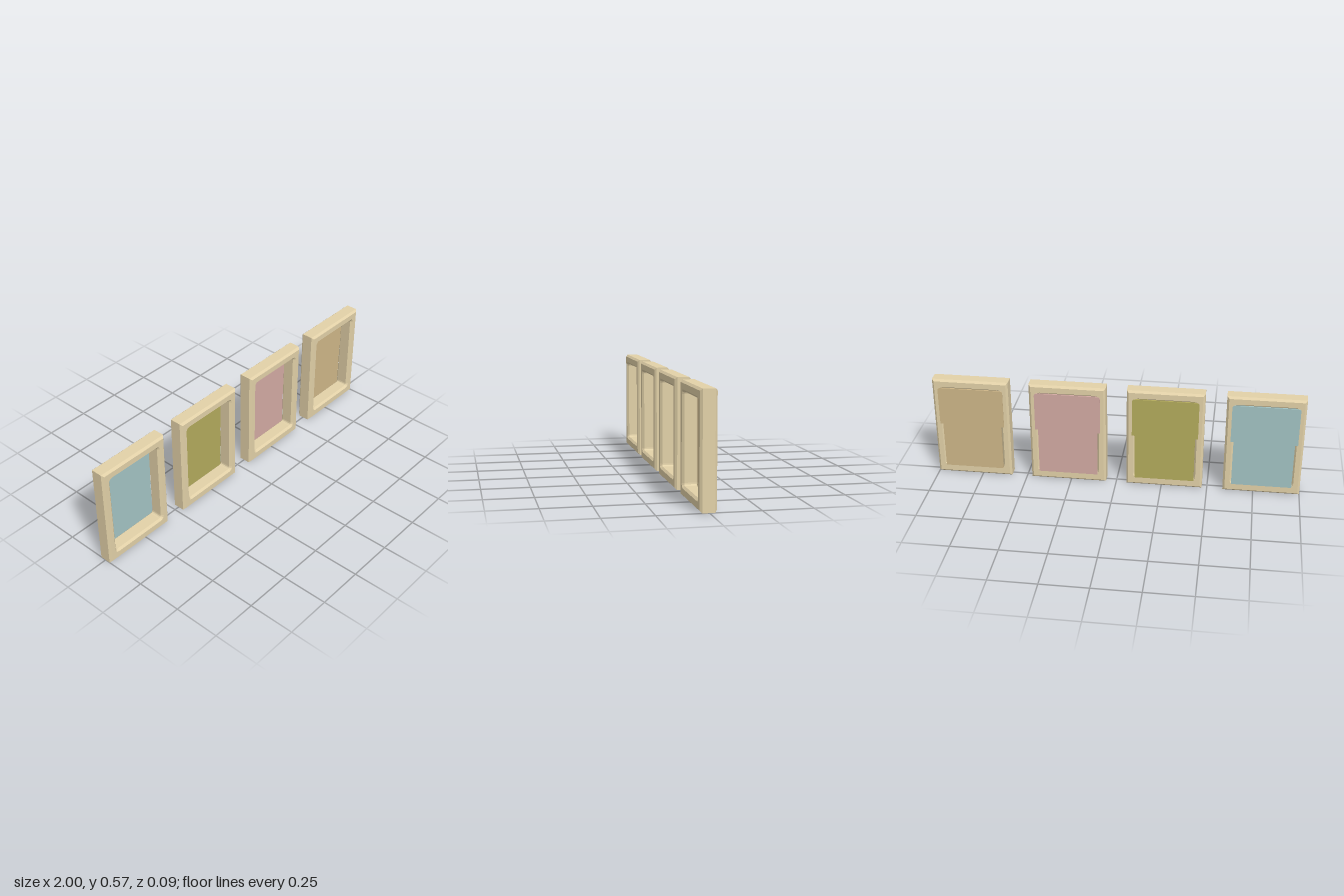
import * as THREE from 'three';

const W = 0.415, H = 0.57, BACK = -0.037, DEPTH = 0.082, BEVEL = 0.011;

// Rectangle path with softened corners (r = 0 gives square corners)
function rect(path, x0, y0, x1, y1, r) {
  path.moveTo(x0 + r, y0);
  path.lineTo(x1 - r, y0);
  if (r) path.quadraticCurveTo(x1, y0, x1, y0 + r);
  path.lineTo(x1, y1 - r);
  if (r) path.quadraticCurveTo(x1, y1, x1 - r, y1);
  path.lineTo(x0 + r, y1);
  if (r) path.quadraticCurveTo(x0, y1, x0, y1 - r);
  path.lineTo(x0, y0 + r);
  if (r) path.quadraticCurveTo(x0, y0, x0 + r, y0);
  return path;
}

// Bevelled border with a rectangular opening
function frameGeometry() {
  const shape = rect(new THREE.Shape(), -W / 2, 0, W / 2, H, 0);
  shape.holes.push(rect(new THREE.Path(), -0.16, 0.055, 0.16, 0.517, 0.014));
  const geo = new THREE.ExtrudeGeometry(shape, {
    depth: DEPTH - 2 * BEVEL, curveSegments: 3, bevelEnabled: true,
    bevelThickness: BEVEL, bevelSize: BEVEL, bevelOffset: -BEVEL, bevelSegments: 1,
  });
  return geo.translate(0, 0, BACK + BEVEL);
}

// Thin back panel, wider in its upper half
function panelGeometry() {
  const a = 0.162, b = 0.178, low = 0.045, mid = 0.305, top = 0.522, c = 0.014;
  const shape = new THREE.Shape();
  shape.moveTo(-a, low);
  shape.lineTo(a, low);
  shape.lineTo(a, mid);
  shape.lineTo(b, mid);
  shape.lineTo(b, top - c);
  shape.quadraticCurveTo(b, top, b - c, top);
  shape.lineTo(-b + c, top);
  shape.quadraticCurveTo(-b, top, -b, top - c);
  shape.lineTo(-b, mid);
  shape.lineTo(-a, mid);
  const geo = new THREE.ExtrudeGeometry(shape, { depth: 0.009, bevelEnabled: false, curveSegments: 3 });
  return geo.translate(0, 0, BACK - 0.003);
}

export function createModel() {
  const model = new THREE.Group();
  model.name = 'pictureFrames';
  const frameGeo = frameGeometry(), panelGeo = panelGeometry();
  const wood = new THREE.MeshStandardMaterial({ color: 0xe2d1a8 });

  // Four frames in a row, each with its own panel colour
  const colors = [0xa3c4c4, 0xb3ab5c, 0xd3aaa3, 0xceb688];
  const depths = [-0.005, -0.002, 0, 0];
  colors.forEach((color, i) => {
    const unit = new THREE.Group();
    unit.name = 'pictureFrame' + (i + 1);
    const frame = new THREE.Mesh(frameGeo, wood);
    frame.name = 'frame';
    const panel = new THREE.Mesh(panelGeo, new THREE.MeshStandardMaterial({ color }));
    panel.name = 'panel';
    unit.add(frame, panel);
    unit.position.set((i - 1.5) * (2 - W) / 3, 0, depths[i]);
    model.add(unit);
  });
  return model;
}
